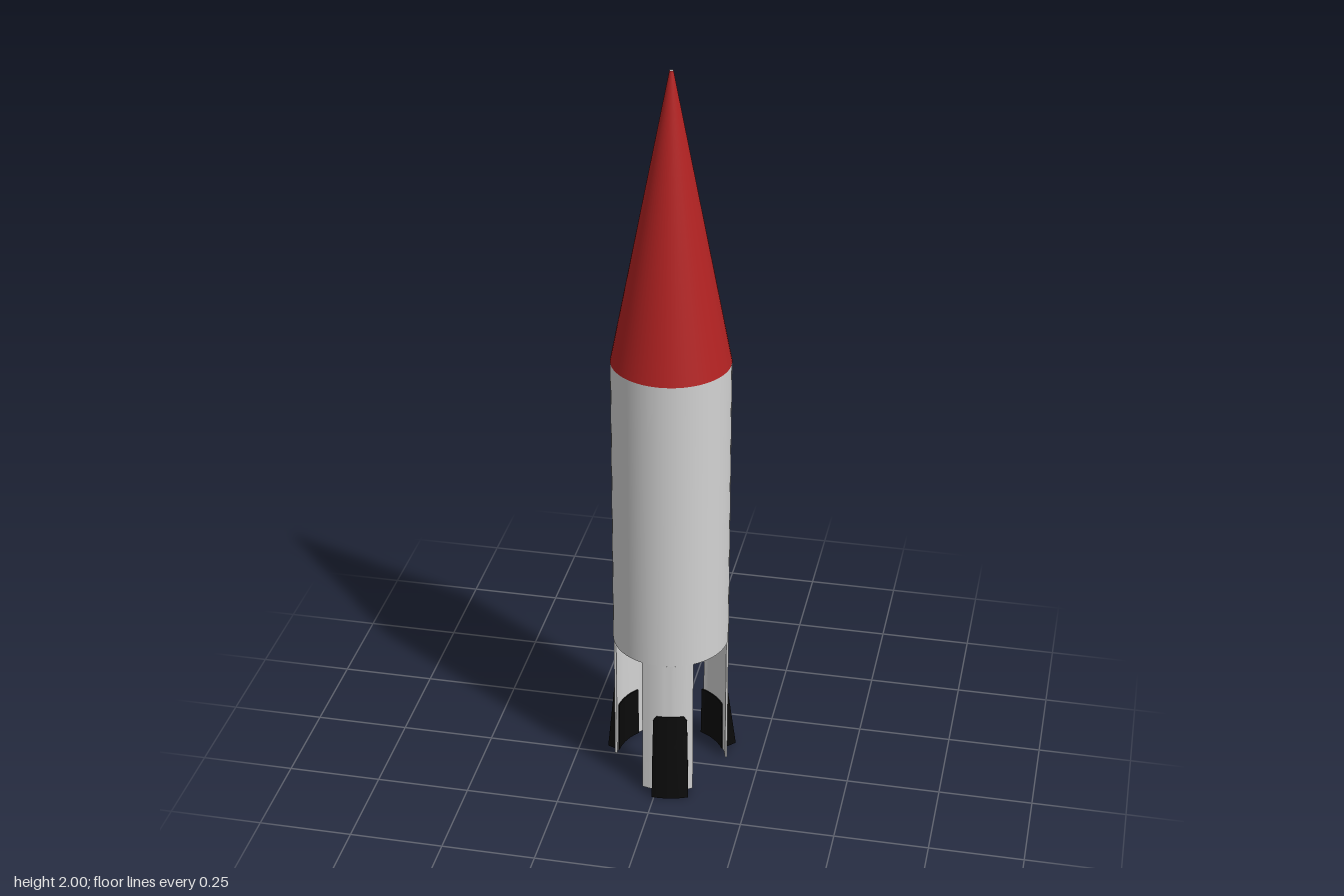
import * as THREE from 'three';
import { toCreasedNormals } from 'three/addons/utils/BufferGeometryUtils.js';

const STEPS = 16; // points along each arc
const RADIUS = 0.155;
const DEG = Math.PI / 180;

// Solid between stacked rings; each ring holds an outer arc then the inner arc back.
function loft(rings) {
  const pos = [], idx = [], m = rings[0].length;
  rings.forEach(ring => ring.forEach(p => pos.push(...p)));
  for (let k = 0; k < rings.length - 1; k++) {
    for (let i = 0; i < m; i++) {
      const a = k * m + i, b = k * m + (i + 1) % m;
      idx.push(a, b, b + m, a, b + m, a + m);
    }
  }
  const top = (rings.length - 1) * m;
  for (let i = 0; i < STEPS; i++) {
    const j = m - 1 - i;
    idx.push(top + i, top + i + 1, top + j - 1, top + i, top + j - 1, top + j);
    idx.push(i, j - 1, i + 1, i, j, j - 1);
  }
  const g = new THREE.BufferGeometry();
  g.setAttribute('position', new THREE.Float32BufferAttribute(pos, 3));
  g.setIndex(idx);
  return toCreasedNormals(g, 0.6);
}

// Ring from a function giving a point for (t in -1..1, radius).
function ring(y, inner, outer, point) {
  const pts = [];
  for (let i = 0; i <= STEPS; i++) pts.push(point(i / STEPS * 2 - 1, outer));
  for (let i = STEPS; i >= 0; i--) pts.push(point(i / STEPS * 2 - 1, inner));
  return pts.map(([x, z]) => [x, y, z]);
}

// Curved wall strip with radial edges
function legGeometry(half) {
  const point = (t, r) => [r * Math.sin(t * half), r * Math.cos(t * half)];
  return loft([0, 0.4].map(y => ring(y, 0.149, RADIUS, point)));
}

// Flared foot with parallel sides, wrapping the lower leg
function bootGeometry(baseRadius) {
  const rows = [ // y, half width, inner radius, outer radius
    [0, 0.049, 0.146, baseRadius],
    [0.145, 0.047, 0.146, THREE.MathUtils.lerp(baseRadius, 0.158, 0.62)],
    [0.146, 0.047, 0.152, THREE.MathUtils.lerp(baseRadius, 0.158, 0.625)],
    [0.226, 0.045, 0.152, 0.159],
    [0.24, 0.036, 0.152, 0.157],
  ];
  return loft(rows.map(([y, half, inner, outer]) =>
    ring(y, inner, outer, (t, r) => [t * half, Math.sqrt(r * r - t * t * half * half)])));
}

export function createModel() {
  const red = new THREE.MeshStandardMaterial({ color: 0xb22222 });
  const grey = new THREE.MeshStandardMaterial({ color: 0xd3d3d3 });
  const black = new THREE.MeshStandardMaterial({ color: 0x0a0a0a });
  red.name = 'red';
  grey.name = 'light grey';
  black.name = 'black';

  const model = new THREE.Group();
  model.name = 'rocket';
  const add = (name, geometry, material, y = 0, turn = 0) => {
    const mesh = new THREE.Mesh(geometry, material);
    mesh.name = name;
    mesh.position.set(0.008, y, -0.012);
    mesh.rotation.y = turn * DEG;
    model.add(mesh);
  };

  // Hull and nose, with a tiny blunt grey tip
  add('hull', new THREE.CylinderGeometry(RADIUS, RADIUS, 0.825, 64), grey, 0.8125);
  add('noseCone', new THREE.CylinderGeometry(0.005, RADIUS, 0.775, 64), [red, grey, grey], 1.6125);

  // Three evenly spaced legs
  const leg = legGeometry(26 * DEG);
  [8, 128, 248].forEach(a => add('leg', leg, grey, 0, a));

  // Boots sit slightly unevenly on the legs: angle, base radius
  [[10.7, 0.191], [137, 0.193], [248.5, 0.182]].forEach(([a, r]) =>
    add('boot', bootGeometry(r), black, 0, a));

  return model;
}
